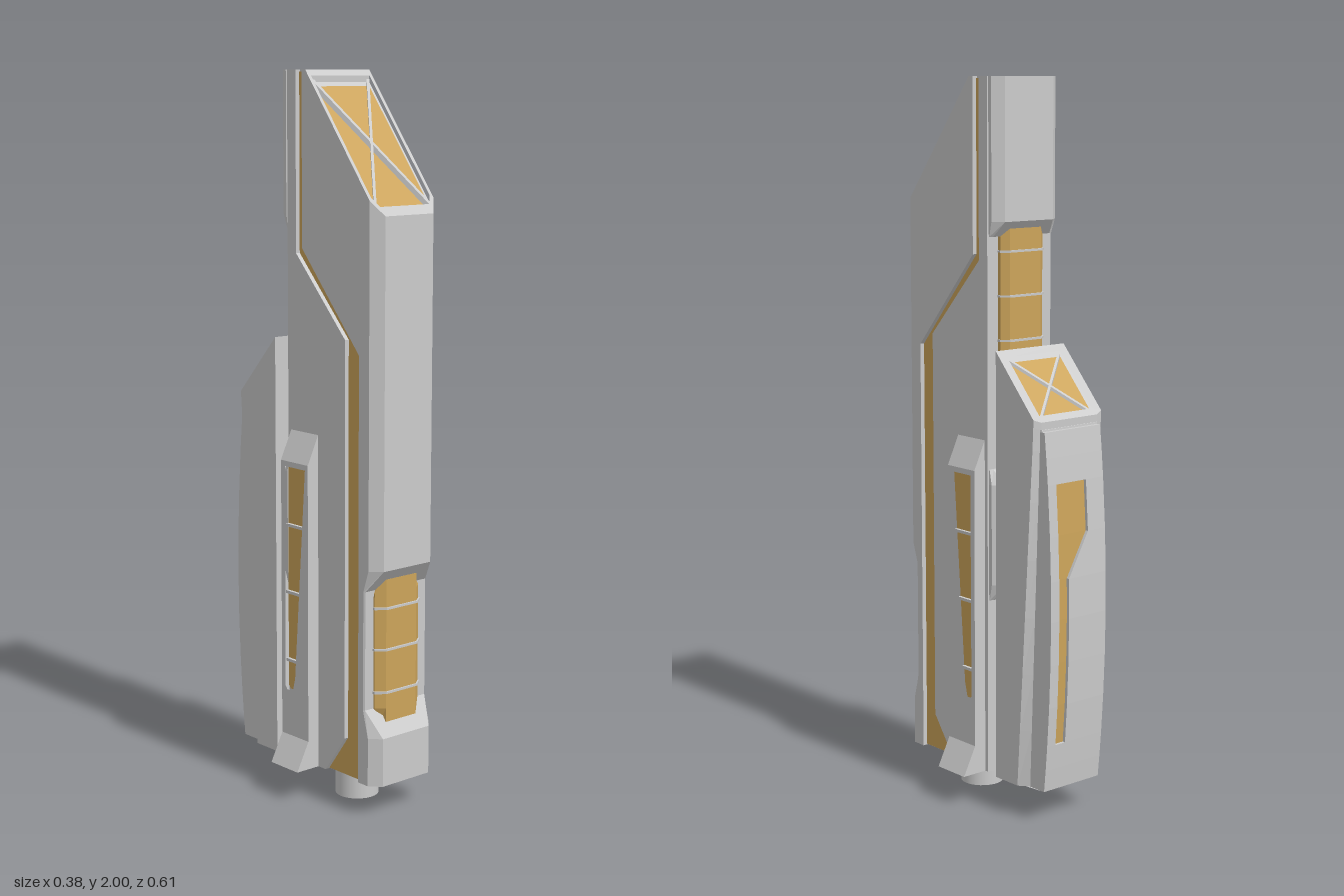
import * as THREE from 'three';

const grey = new THREE.MeshStandardMaterial({ color: 0xcccccc, flatShading: true });
const amber = new THREE.MeshStandardMaterial({ color: 0xcca45a, flatShading: true });

const vecs = (pts, flip = 1) => pts.map(([a, b]) => new THREE.Vector2(a * flip, b));

function shapeOf(pts, hole, flip = 1) {
  const shape = new THREE.Shape(vecs(pts, flip));
  if (hole) shape.holes.push(new THREE.Path(vecs(hole, flip)));
  return shape;
}

// Closed solid through horizontal rings of [x, y, z], listed from bottom to top
function loft(rings) {
  const n = rings[0].length, index = [];
  for (let r = 0; r < rings.length - 1; r++) {
    for (let i = 0; i < n; i++) {
      const a = r * n + i, b = r * n + (i + 1) % n;
      index.push(a, b, b + n, a, b + n, a + n);
    }
  }
  const top = (rings.length - 1) * n;
  for (let i = 1; i < n - 1; i++) index.push(0, i + 1, i, top, top + i, top + i + 1);
  const geo = new THREE.BufferGeometry();
  geo.setAttribute('position', new THREE.Float32BufferAttribute(rings.flat(2), 3));
  geo.setIndex(index);
  const flat = geo.toNonIndexed();
  flat.computeVertexNormals();
  return flat;
}

// Symmetric ring from half an outline of [x, z], front to back; y is a number or a rule of z
function ring(half, y) {
  const yOf = typeof y === 'function' ? y : () => y;
  const mirrored = half.map(([x, z]) => [-x, z]).reverse();
  return [...half, ...mirrored].map(([x, z]) => [x, yOf(z), z]);
}

// Side outline of [z, y], extruded from x0 to x1
function sideExtrude(pts, x0, x1, hole) {
  const geo = new THREE.ExtrudeGeometry(shapeOf(pts, hole, -1).clone(), { depth: x1 - x0, bevelEnabled: false });
  return geo.rotateY(Math.PI / 2).translate(x0, 0, 0);
}

// Plan outline of [x, z], extruded upwards and sheared so that its top follows yOf(z)
function slopeExtrude(pts, yOf, bottom, top, hole) {
  const plan = (list) => list && list.map(([x, z]) => [x, -z]);
  const geo = new THREE.ExtrudeGeometry(shapeOf(plan(pts), plan(hole)), { depth: top - bottom, bevelEnabled: false });
  const p = geo.attributes.position;
  for (let i = 0; i < p.count; i++) {
    const z = -p.getY(i);
    p.setXYZ(i, p.getX(i), yOf(z) + bottom + p.getZ(i), z);
  }
  geo.computeVertexNormals();
  return geo;
}

export function createModel() {
  const model = new THREE.Group();
  const add = (name, geo, mat = grey, parent = model) => {
    const mesh = new THREE.Mesh(geo, mat);
    mesh.name = name;
    parent.add(mesh);
    return mesh;
  };
  const box = (name, w, h, d, x, y, z, mat = grey) =>
    add(name, new THREE.BoxGeometry(w, h, d).translate(x, y, z), mat);

  // Sloping window: raised frame, amber pane and crossed bars
  function slopeWindow(name, outline, hole, yOf, depth, [x, z0, z1]) {
    const group = new THREE.Group();
    group.name = name;
    model.add(group);
    add('windowFrame', slopeExtrude(outline, yOf, -depth, 0, hole), grey, group);
    add('windowPane', slopeExtrude(hole, yOf, -depth - 0.005, -depth + 0.005), amber, group);
    const w = 0.005;
    for (const s of [-1, 1]) {
      const bar = [[-s * x - w, z0], [-s * x + w, z0], [s * x + w, z1], [s * x - w, z1]];
      add('windowBar', slopeExtrude(bar, yOf, -depth, -depth * 0.3), grey, group);
    }
  }

  // Main body: core, amber groove floor and side plates
  const drop = 0.033;
  const bodyTop = (z) => 1.63 + (0.305 - z) * 1.298;
  const bodyLow = (z) => bodyTop(z) - drop;
  add('bodyCore', sideExtrude([[0.24, 0.09], [0.24, bodyLow(0.24)], [0.02, bodyLow(0.02)], [0.02, 2],
    [-0.055, 2], [-0.055, 0.09]], -0.097, 0.097));
  add('grooveFloor', sideExtrude([[0.24, 0.092], [0.24, 1.28], [0.007, 1.55], [0.007, 1.995], [-0.024, 1.995],
    [-0.024, 1.5], [0.17, 1.28], [0.17, 0.2], [0.09, 0.092]], -0.1, 0.1), amber);
  const frontPlate = [[0.24, 0.09], [0.24, bodyLow(0.24)], [0.02, bodyLow(0.02)], [0.02, 2],
    [0.005, 2], [0.005, 1.53], [0.235, 1.265], [0.235, 0.09]];
  const rearPlate = [[-0.055, 0.09], [-0.055, 2], [-0.02, 2], [-0.02, 1.515], [0.18, 1.3], [0.18, 0.2], [0.1, 0.09]];
  for (const x of [-0.113, 0.095]) {
    add('frontSidePlate', sideExtrude(frontPlate, x, x + 0.018));
    add('rearSidePlate', sideExtrude(rearPlate, x, x + 0.018));
  }

  // Chamfered nose with a notch near the bottom
  const full = [[0.085, 0.305], [0.113, 0.275], [0.113, 0.235]];
  const notch = [[0.11, 0.26], [0.113, 0.255], [0.113, 0.235]];
  add('nose', loft([ring(full, 0.09), ring(full, 0.225), ring(notch, 0.3), ring(notch, 0.63),
    ring(full, 0.69), ring(full, bodyLow)]));
  slopeWindow('topWindow',
    [[-0.113, 0.02], [0.113, 0.02], [0.113, 0.275], [0.085, 0.305], [-0.085, 0.305], [-0.113, 0.275]],
    [[-0.103, 0.032], [0.103, 0.032], [0.103, 0.27], [0.087, 0.287], [-0.087, 0.287], [-0.103, 0.27]],
    bodyTop, drop, [0.098, 0.032, 0.28]);

  // Ribbed amber panels, front and rear
  const frontPanel = [[0.055, 0.283], [0.08, 0.264], [0.08, 0.25]];
  const frontEnd = [[0.055, 0.283], [0.058, 0.264], [0.058, 0.25]];
  add('frontPanel', loft([ring(frontEnd, 0.26), ring(frontPanel, 0.3), ring(frontPanel, 0.62), ring(frontEnd, 0.66)]), amber);
  const rearPanel = [[0.075, -0.05], [0.075, -0.064], [0.055, -0.08]];
  add('rearPanel', loft([ring(rearPanel, 1.19), ring(rearPanel, 1.61)]), amber);
  const frontRib = [[0.057, 0.288], [0.083, 0.267], [0.083, 0.25]];
  const rearRib = [[0.078, -0.05], [0.078, -0.067], [0.057, -0.085]];
  for (const y of [0.345, 0.465, 0.58]) add('frontRib', loft([ring(frontRib, y - 0.003), ring(frontRib, y + 0.003)]));
  for (const y of [1.3, 1.42, 1.54]) add('rearRib', loft([ring(rearRib, y - 0.003), ring(rearRib, y + 0.003)]));

  // Rear spine and the block that joins body and pod
  const spine = [[0.1, -0.05], [0.113, -0.06], [0.113, -0.072], [0.085, -0.095]];
  const spineEnd = [[0.1, -0.05], [0.11, -0.058], [0.11, -0.06], [0.1, -0.064]];
  add('rearSpine', loft([ring(spineEnd, 1.58), ring(spine, 1.62), ring(spine, 2)]));
  add('podMount', loft([ring(spineEnd, 0.585), ring(spine, 0.63), ring(spine, 0.91), ring(spineEnd, 0.95)]));

  // Side fins with an amber inset, a sloped cap and a flared foot
  const finHole = [[0.058, 0.935], [-0.026, 0.935], [-0.028, 0.31], [-0.02, 0.3], [0.004, 0.3], [0.014, 0.34]];
  const finRect = [[0.07, 0.17], [0.07, 0.95], [-0.043, 0.95], [-0.043, 0.17]];
  for (const s of [-1, 1]) {
    const span = (a, b) => (s > 0 ? [a, b] : [-b, -a]);
    add('finFrame', sideExtrude(finRect, ...span(0.1, 0.15), finHole));
    add('finInset', sideExtrude(finHole, ...span(0.1, 0.138)), amber);
    for (const [y, z0, z1] of [[0.77, -0.027, 0.046], [0.58, -0.027, 0.032], [0.385, -0.027, 0.017]])
      box('finRib', 0.046, 0.008, z1 - z0, s * 0.124, y, (z0 + z1) / 2);
    const profiles = {
      finCap: [[0.1, 0.95], [0.15, 0.95], [0.113, 1.03], [0.1, 1.03]],
      finFoot: [[0.1, 0.09], [0.19, 0.09], [0.15, 0.17], [0.1, 0.17]],
    };
    for (const [name, pts] of Object.entries(profiles))
      add(name, new THREE.ExtrudeGeometry(shapeOf(pts, null, s), { depth: 0.113, bevelEnabled: false }).translate(0, 0, -0.043));
  }

  // Base peg
  add('basePeg', new THREE.CylinderGeometry(0.061, 0.061, 0.1, 24).translate(0, 0.05, 0.105),
    new THREE.MeshStandardMaterial({ color: 0xcccccc }));

  // Rear pod: tapered shell with a bowed back
  const podDrop = 0.02;
  const podTop = (z) => 1.28 + (z + 0.1) * 1.097;
  const bow = (y) => -0.3 + 0.11 * (y - 0.57) ** 2;
  const podHalf = (y) => {
    const t = (y - 0.09) / 1.0;
    return [[0.122, -0.1], [0.122, -0.19 - 0.062 * t], [0.1, -0.218 - 0.037 * t], [0.1, bow(y) + 0.012]];
  };
  const podRows = [0.09, 0.25, 0.41, 0.57, 0.73, 0.89, 1.03].map((y) => ring(podHalf(y), y));
  add('podShell', loft([...podRows, ring(podHalf(1.08), (z) => podTop(z) - podDrop)]));
  slopeWindow('podWindow',
    [[-0.122, -0.1], [-0.122, -0.252], [-0.1, -0.259], [0.1, -0.259], [0.122, -0.252], [0.122, -0.1]],
    [[-0.095, -0.116], [-0.095, -0.245], [0.095, -0.245], [0.095, -0.116]],
    podTop, podDrop, [0.09, -0.245, -0.116]);

  // Pod back skin around a stepped amber slot
  const skin = (name, ys, x0, x1, out = 0, mat = grey) => add(name, loft(ys.map((y) => {
    const a = x0(y), b = x1(y), zf = bow(y) + 0.016, zb = bow(y) + out;
    return [[b, y, zf], [b, y, zb], [a, y, zb], [a, y, zf]];
  })), mat);
  const k = (v) => () => v;
  const step = (y) => THREE.MathUtils.clamp(0.035 - 0.6 * (y - 0.68), -0.037, 0.035);
  const slotRows = [0.22, 0.33, 0.45, 0.57, 0.68, 0.8, 0.94];
  skin('podBackLower', [0.09, 0.15, 0.22], k(-0.1), k(0.1));
  skin('podBackUpper', [0.94, 1.01, 1.08], k(-0.1), k(0.1));
  skin('podBackWide', slotRows, k(-0.1), step);
  skin('podBackNarrow', slotRows, k(0.07), k(0.1));
  skin('podBackSlot', slotRows, step, k(0.07), 0.009, amber);

  return model;
}
